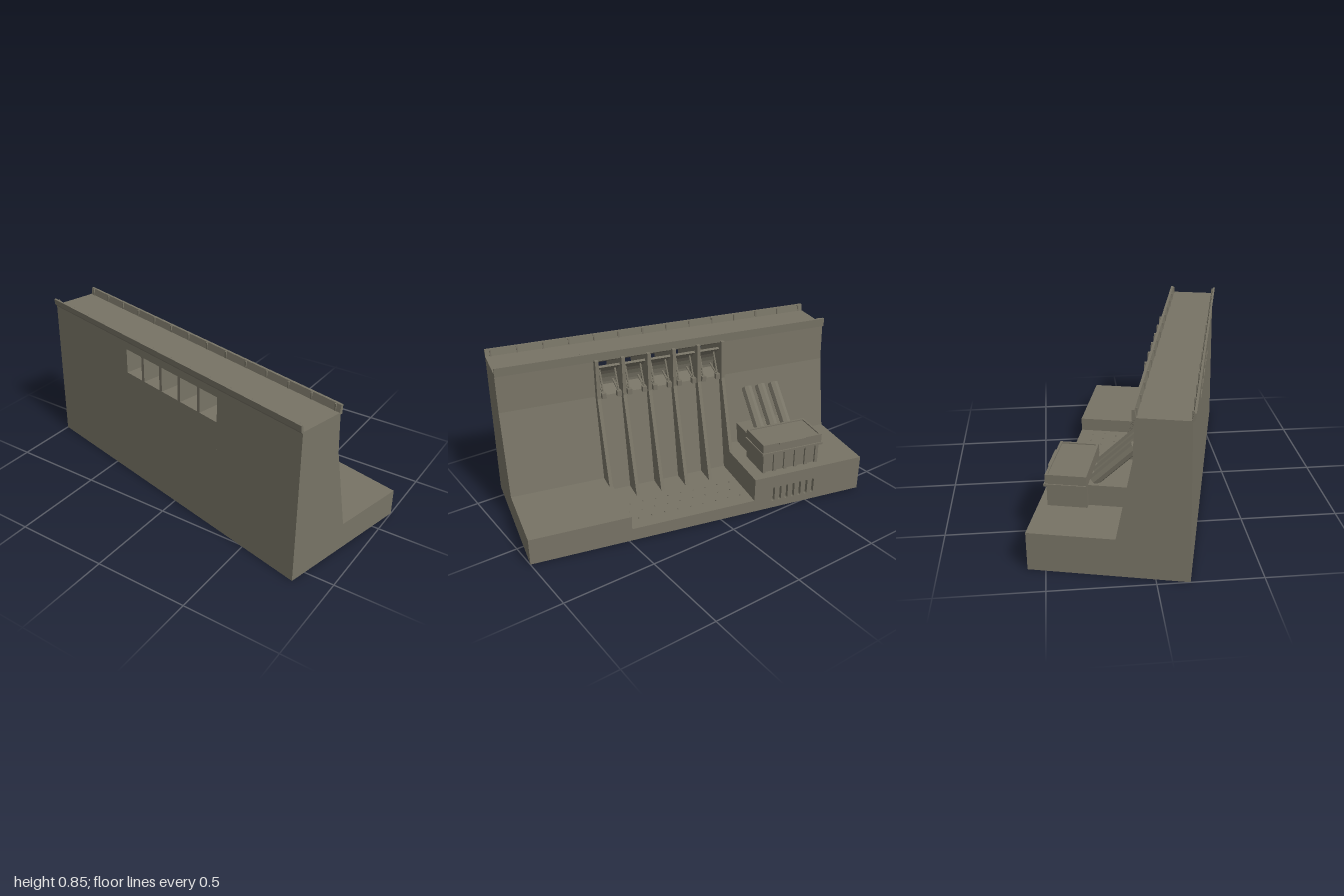
import * as THREE from 'three';

export function createModel() {
  const concrete = new THREE.MeshStandardMaterial({ color: 0x777365 });
  concrete.name = 'concrete';
  const model = new THREE.Group();
  model.name = 'dam';
  const dam = new THREE.Group();
  dam.name = 'damStructure';
  dam.rotation.y = -0.2315; // the dam stands at an angle
  model.add(dam);

  const add = (name, geometry) => {
    const mesh = new THREE.Mesh(geometry, concrete);
    mesh.name = name;
    dam.add(mesh);
    return mesh;
  };
  // Cross-section of [z, y] points swept along x from x0 to x1
  const prism = (name, points, x0, x1) => {
    const shape = new THREE.Shape(points.map(([z, y]) => new THREE.Vector2(-z, y)));
    const g = new THREE.ExtrudeGeometry(shape, { depth: x1 - x0, bevelEnabled: false });
    return add(name, g.rotateY(Math.PI / 2).translate(x0, 0, 0));
  };
  const box = (name, x0, x1, y0, y1, z0, z1) =>
    add(name, new THREE.BoxGeometry(x1 - x0, y1 - y0, z1 - z0)
      .translate((x0 + x1) / 2, (y0 + y1) / 2, (z0 + z1) / 2));
  // Round or faceted bar between two points
  const bar = (name, a, b, radius, sides) => {
    const dir = b.clone().sub(a);
    const g = new THREE.CylinderGeometry(radius, radius, dir.length(), sides).toNonIndexed();
    g.computeVertexNormals();
    const mesh = add(name, g);
    mesh.position.copy(a).add(b).multiplyScalar(0.5);
    mesh.quaternion.setFromUnitVectors(new THREE.Vector3(0, 1, 0), dir.normalize());
    return mesh;
  };

  const END = 0.9375, BACK = -0.38;
  const S0 = -0.287, S1 = 0.407; // spillway limits
  const PITCH = 0.1428, RIB = 0.019;

  // Solid wall and foundation on each side of the spillway
  const wall = (back, step) => [
    [0.38, 0], [0.367, 0.81], [0.123, 0.81], [0.113, 0.6],
    [0.026 + (step - 0.145) * 0.191, step], [back, step], [back, 0],
  ];
  prism('rightBankWall', wall(BACK + 0.02, 0.2), -END, S0);
  prism('leftBankWall', wall(BACK, 0.145), S1, END);

  // Spillway: chute below the openings and deck above them
  prism('spillwayChute', [[0.38, 0], [0.37, 0.625], [0.2, 0.625], [0.113, 0.6],
    [0.012, 0.07], [BACK, 0.07], [BACK, 0]], S0, S1);
  prism('spillwayDeck', [[0.3678, 0.76], [0.367, 0.81], [0.123, 0.81],
    [0.123, 0.797], [0.19, 0.76]], S0, S1);

  // Piers that divide the five bays
  for (let i = 0; i < 6; i++) {
    const x = S0 - RIB + i * PITCH;
    prism('spillwayPier', [[0.37, 0.6], [0.367, 0.809], [0.088, 0.809], [0.078, 0.6],
      [-0.098, 0.07], [0.1, 0.07]], x, x + RIB);
  }

  // Curved gates with their arms and pivots
  for (let i = 0; i < 5; i++) {
    const x0 = S0 + i * PITCH, x1 = x0 + PITCH - RIB;
    const arc = (r) => Array.from({ length: 7 }, (_, k) => {
      const t = k * 0.162;
      return [0.02 + r * Math.cos(t), 0.61 + r * Math.sin(t)];
    });
    prism('gatePlate', [...arc(0.19), ...arc(0.178).reverse()], x0, x1);
    for (const x of [x0 + 0.02, x1 - 0.02]) {
      const pivot = new THREE.Vector3(x, 0.618, 0.09);
      bar('gateArm', pivot, new THREE.Vector3(x, 0.65, 0.195), 0.005, 6);
      bar('gateArm', pivot, new THREE.Vector3(x, 0.735, 0.15), 0.005, 6);
      box('gatePivot', x - 0.012, x + 0.012, 0.596, 0.626, 0.078, 0.102);
    }
  }

  // Parapets along both sides of the roadway
  prism('frontParapet', [[0.366, 0.8], [0.378, 0.815], [0.381, 0.847], [0.37, 0.847],
    [0.362, 0.809]], -END, END);
  prism('backParapet', [[0.111, 0.8], [0.109, 0.847], [0.122, 0.847], [0.129, 0.809],
    [0.123, 0.8]], -END, END);
  for (let i = 0; i < 14; i++) {
    const x = -0.91 + i * 0.14;
    box('frontParapetPost', x - 0.004, x + 0.004, 0.809, 0.845, 0.36, 0.372);
    box('backParapetPost', x - 0.004, x + 0.004, 0.809, 0.845, 0.12, 0.131);
  }

  // Foundation face with seven rounded vent slots
  const face = new THREE.Shape([[-END, 0], [S0, 0], [S0, 0.2], [-END, 0.2]]
    .map(([x, y]) => new THREE.Vector2(x, y)));
  for (let i = 0; i < 7; i++) {
    const x = -0.64 + i * 0.04, r = 0.009;
    const slot = new THREE.Path();
    slot.absarc(x, 0.12, r, 0, Math.PI, false);
    slot.absarc(x, 0.05, r, Math.PI, Math.PI * 2, false);
    slot.closePath();
    face.holes.push(slot);
  }
  add('ventFace', new THREE.ExtrudeGeometry(face, { depth: 0.02, bevelEnabled: false, curveSegments: 5 })
    .translate(0, 0, BACK));

  // Powerhouse: lower storey, ledge, upper storey and roof rim
  const P0 = -0.7, P1 = -0.347, Z0 = -0.338, Z1 = -0.138;
  box('powerhouseLower', P0 + 0.012, P1 - 0.006, 0.19, 0.32, Z0 + 0.015, Z1);
  box('powerhouseUpper', P0, P1, 0.325, 0.368, Z0, Z1);
  box('powerhouseLedge', P0 - 0.006, P1 + 0.006, 0.314, 0.326, Z0 - 0.007, Z1);
  box('roofRimBack', P0, P1, 0.366, 0.374, Z0, Z0 + 0.012);
  box('roofRimFront', P0, P1, 0.366, 0.374, Z1 - 0.012, Z1);
  box('roofRimRight', P0, P0 + 0.012, 0.366, 0.374, Z0 + 0.012, Z1 - 0.012);
  box('roofRimLeft', P1 - 0.012, P1, 0.366, 0.374, Z0 + 0.012, Z1 - 0.012);
  box('roofSlab', -0.6, -0.44, 0.366, 0.374, Z0 - 0.006, Z0 + 0.004);
  for (let i = 0; i < 6; i++) {
    const x = P0 + 0.012 + i * 0.0634;
    box('powerhousePilaster', x, x + 0.018, 0.2, 0.316, Z0 + 0.004, Z0 + 0.02);
  }

  // Penstock block and three faceted pipes running down the wall
  box('penstockBlock', -0.66, -0.38, 0.19, 0.31, -0.14, 0.07);
  for (const x of [-0.615, -0.532, -0.449]) {
    bar('penstock', new THREE.Vector3(x, 0.51, 0.085), new THREE.Vector3(x, 0.315, -0.115), 0.03, 8);
  }

  // Small baffle blocks on the spillway floor
  for (let row = 0; row < 3; row++) {
    for (let i = 0; i < 9; i++) {
      const x = -0.24 + i * 0.073 + (row % 2) * 0.03, z = -0.16 - row * 0.07;
      box('baffleBlock', x - 0.003, x + 0.003, 0.068, 0.075, z - 0.003, z + 0.003);
    }
  }
  return model;
}
